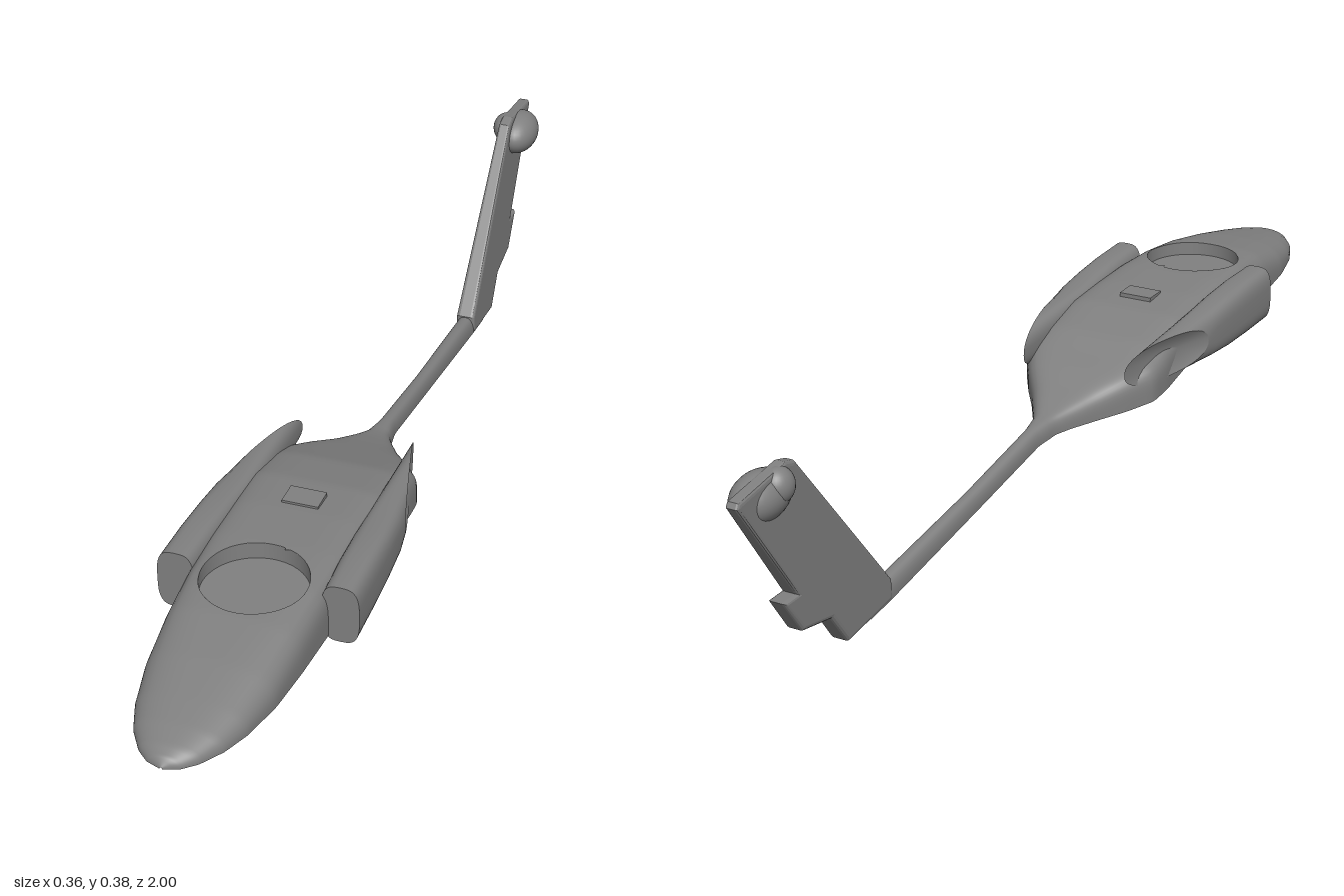
import * as THREE from 'three';

const grey = new THREE.MeshStandardMaterial({ color: 0x808080, side: THREE.DoubleSide });
grey.name = 'plain grey';

// Hull stations, tail to nose: z, half width, top y, lower edge y, squareness
const stations = [
  [-0.66, 0.019, 0.046, 0.010, 2.5], [-0.6, 0.018, 0.050, 0.015, 2.5], [-0.3, 0.016, 0.088, 0.057, 2.5],
  [-0.08, 0.017, 0.123, 0.092, 2.5], [-0.03, 0.025, 0.130, 0.097, 3], [0, 0.040, 0.138, 0.100, 3.5],
  [0.05, 0.070, 0.155, 0.104, 4], [0.1, 0.105, 0.174, 0.110, 5], [0.15, 0.136, 0.192, 0.118, 5],
  [0.2, 0.138, 0.211, 0.123, 5], [0.3, 0.131, 0.232, 0.133, 6], [0.4, 0.127, 0.240, 0.138, 6],
  [0.5, 0.126, 0.243, 0.142, 6], [0.6, 0.124, 0.244, 0.146, 5], [0.7, 0.120, 0.237, 0.152, 4],
  [0.8, 0.112, 0.223, 0.157, 3], [0.88, 0.095, 0.208, 0.160, 2.6], [0.93, 0.076, 0.198, 0.162, 2.4],
  [0.97, 0.050, 0.188, 0.163, 2.2], [0.99, 0.028, 0.180, 0.164, 2], [1, 0.002, 0.168, 0.165, 2],
];
const HOLE = { z: 0.6, r: 0.092 };

const profile = new THREE.LinearInterpolant(
  stations.map((s) => s[0]), stations.flatMap((s) => s.slice(1)), 4, new Float32Array(4));
const hullAt = (z) => Array.from(profile.evaluate(z));

function deckHeight(x, z) {
  const [w, top, low, n] = hullAt(z);
  return low + (top - low) * Math.pow(Math.max(0, 1 - Math.pow(Math.abs(x / w), n)), 1 / n);
}

function geometryFrom(pos, index) {
  const g = new THREE.BufferGeometry();
  g.setAttribute('position', new THREE.Float32BufferAttribute(pos, 3));
  g.setIndex(index);
  g.computeVertexNormals();
  return g;
}

// Open-bottomed arch lofted from nose to tail, with a round opening in the deck
function hullGeometry() {
  const rows = 150, side = 8, across = 34, cols = side * 2 + across;
  const pos = [], index = [];
  for (let i = 0; i <= rows; i++) {
    const z = 1 - 1.66 * Math.pow(i / rows, 1.3);
    const [w, top, low, n] = hullAt(z);
    for (let j = 0; j <= cols; j++) {
      let px = 1, py = 1;
      if (j < side) py = j / side;
      else if (j > side + across) { px = -1; py = (cols - j) / side; }
      else px = 1 - 2 * (j - side) / across;
      const k = Math.pow(Math.abs(px) ** n + py ** n, -1 / n);
      let x = px * k * w, y = low + py * k * (top - low), zz = z;
      // snap nearby points to the rim of the opening
      const d = Math.hypot(x, z - HOLE.z);
      if (py > 0.9 && Math.abs(d - HOLE.r) < 0.006) {
        x *= HOLE.r / d;
        zz = HOLE.z + (z - HOLE.z) * HOLE.r / d;
        y = deckHeight(x, zz);
      }
      pos.push(x, y, zz);
    }
  }
  const addTriangle = (...t) => {
    const cx = t.reduce((s, v) => s + pos[v * 3], 0) / 3;
    const cz = t.reduce((s, v) => s + pos[v * 3 + 2], 0) / 3;
    if (Math.hypot(cx, cz - HOLE.z) > HOLE.r - 0.0005) index.push(...t);
  };
  for (let i = 0; i < rows; i++) for (let j = 0; j < cols; j++) {
    const a = i * (cols + 1) + j, b = a + cols + 1;
    addTriangle(a, b, a + 1);
    addTriangle(a + 1, b, b + 1);
  }
  return geometryFrom(pos, index);
}

// Side pod on +x: rounded tube whose rear is cut obliquely for the exhaust
function podGeometry() {
  const N = 40; // z, inner x, outer x, bottom y, top y
  const sections = [[0.59, 0.112, 0.178, 0.137, 0.248], [0.5, 0.108, 0.177, 0.136, 0.247],
    [0.42, 0.106, 0.175, 0.137, 0.242], [0.35, 0.106, 0.172, 0.142, 0.235], [null, 0.106, 0.168, 0.149, 0.226]];
  const pos = [], index = [];
  sections.forEach(([z, xi, xo, yb, yt]) => {
    for (let j = 0; j < N; j++) {
      const a = j / N * Math.PI * 2, c = Math.cos(a), s = Math.sin(a);
      const e = z === null ? 0.85 : 0.62;
      const x = (xi + xo) / 2 + Math.sign(c) * Math.abs(c) ** e * (xo - xi) / 2;
      const y = (yb + yt) / 2 + Math.sign(s) * Math.abs(s) ** e * (yt - yb) / 2;
      pos.push(x, y, z ?? 0.32 - (0.168 - x) * 3.8);
    }
  });
  for (let i = 0; i < sections.length - 1; i++) for (let j = 0; j < N; j++) {
    const a = i * N + j, b = i * N + (j + 1) % N;
    index.push(a, a + N, b, b, a + N, b + N);
  }
  // flat intake face and hollow exhaust, with their own vertices for sharp rims
  const cap = (row, centre, flip) => {
    const base = pos.length / 3;
    pos.push(...pos.slice(row * N * 3, (row + 1) * N * 3), ...centre);
    for (let j = 0; j < N; j++) {
      const p = base + j, q = base + (j + 1) % N;
      index.push(...(flip ? [q, p, base + N] : [p, q, base + N]));
    }
  };
  cap(0, [0.145, 0.193, 0.59], false);
  cap(4, [0.130, 0.188, 0.25], true);
  return geometryFrom(pos, index);
}

// Recessed wall whose upper rim follows the deck
function recessWallGeometry(floorY) {
  const g = new THREE.CylinderGeometry(HOLE.r, HOLE.r, 1, 64, 1, true);
  const p = g.attributes.position;
  for (let i = 0; i < p.count; i++) {
    const z = p.getZ(i) + HOLE.z;
    p.setXYZ(i, p.getX(i), p.getY(i) > 0 ? deckHeight(p.getX(i), z) : floorY, z);
  }
  return g;
}

// Swept fin with a lower trailing tab, thinner towards its top
function finGeometry() {
  const outline = [[-0.59, 0.053], [-0.59, 0.015], [-0.725, 0], [-0.77, 0.062], [-0.85, 0.078],
    [-0.898, 0.147], [-0.86, 0.147], [-1, 0.35], [-0.995, 0.359], [-0.87, 0.377], [-0.845, 0.37]];
  const shape = new THREE.Shape(outline.map(([z, y]) => new THREE.Vector2(z, y)));
  const g = new THREE.ExtrudeGeometry(shape, {
    depth: 0.024, bevelThickness: 0.008, bevelSize: 0.008, bevelOffset: -0.008, bevelSegments: 3,
  });
  g.translate(0, 0, -0.012).rotateY(-Math.PI / 2);
  const p = g.attributes.position;
  for (let i = 0; i < p.count; i++) p.setX(i, p.getX(i) * (1 - 1.1 * p.getY(i)));
  g.computeVertexNormals();
  return g;
}

export function createModel() {
  const model = new THREE.Group();
  const add = (name, geometry, x = 0, y = 0, z = 0) => {
    const mesh = new THREE.Mesh(geometry, grey);
    mesh.name = name;
    mesh.position.set(x, y, z);
    model.add(mesh);
    return mesh;
  };
  add('upperHullAndBoom', hullGeometry());

  // Side pods, mirrored
  const pod = podGeometry();
  add('leftEnginePod', pod);
  add('rightEnginePod', pod).scale.x = -1;

  // Round recess and small hatch on the deck
  const floorY = 0.212;
  add('rotorRecessWall', recessWallGeometry(floorY));
  add('rotorRecessFloor', new THREE.CircleGeometry(HOLE.r, 64).rotateX(-Math.PI / 2), 0, floorY, HOLE.z);
  add('deckHatch', new THREE.BoxGeometry(0.066, 0.014, 0.046), 0, 0.236, 0.362);

  // Tail fin and its gearbox bulges
  add('tailFin', finGeometry());
  const ball = new THREE.SphereGeometry(1, 32, 20);
  add('tailGearbox', ball, 0.014, 0.329, -0.905).scale.set(0.041, 0.041, 0.063);
  add('tailGearboxCover', ball, -0.006, 0.344, -0.887).scale.set(0.027, 0.031, 0.03);
  return model;
}
